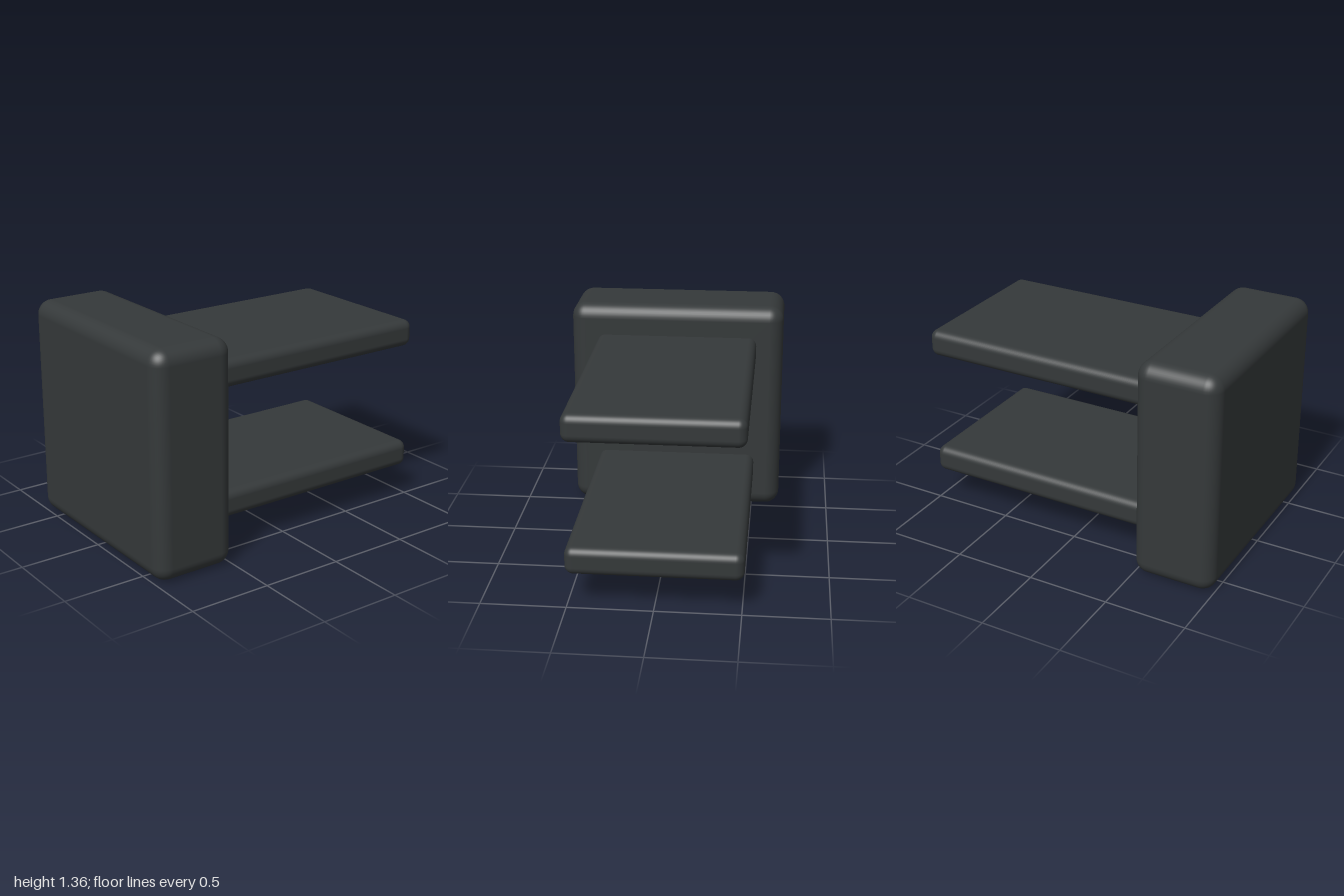
import * as THREE from 'three';
import { RoundedBoxGeometry } from 'three/addons/geometries/RoundedBoxGeometry.js';

export function createModel() {
  const model = new THREE.Group();
  const material = new THREE.MeshStandardMaterial({ color: 0x35393a });

  // Rounded box given by its size, corner radius and centre
  function addBox(name, [w, h, d], radius, [x, y, z]) {
    const mesh = new THREE.Mesh(new RoundedBoxGeometry(w, h, d, 5, radius), material);
    mesh.name = name;
    mesh.position.set(x, y, z);
    model.add(mesh);
  }

  // Thick square head at the front
  addBox('headBlock', [1.36, 1.36, 0.51], 0.09, [0, 0.68, 0.745]);

  // Two flat prongs running back from the head, seated slightly inside it
  const back = -1, front = 0.6;
  for (const [name, y] of [['lowerProng', 0.283], ['upperProng', 1.083]]) {
    addBox(name, [1.02, 0.168, front - back], 0.05, [0, y, (front + back) / 2]);
  }

  return model;
}
